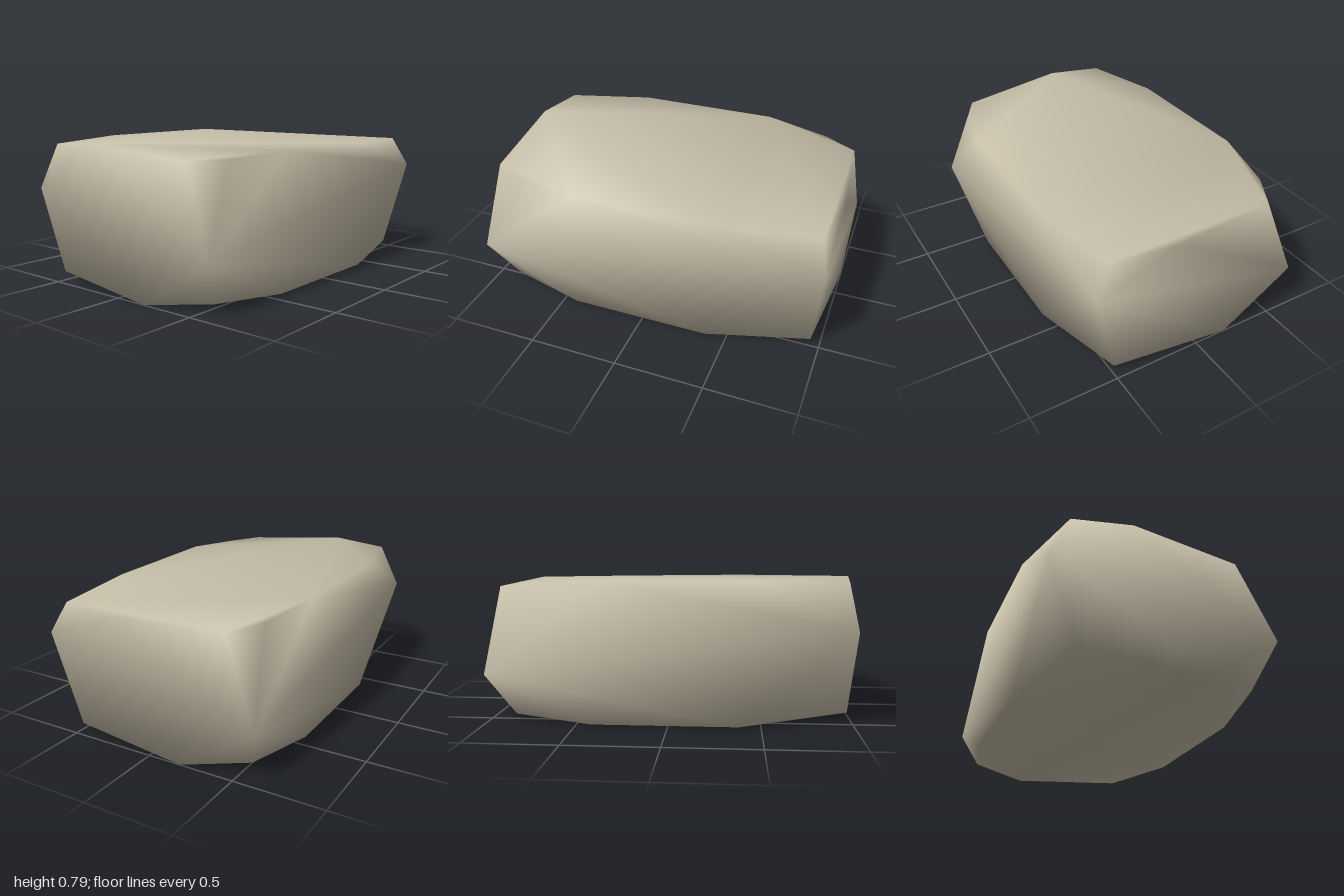
import * as THREE from 'three';
import { ConvexGeometry } from 'three/addons/geometries/ConvexGeometry.js';
import { mergeVertices } from 'three/addons/utils/BufferGeometryUtils.js';

const v = (x, y, z) => new THREE.Vector3(x, y, z);

export function createModel() {
  const group = new THREE.Group();
  group.name = 'stoneBlock';
  const stone = new THREE.MeshStandardMaterial({ color: 0xc8c0aa });
  stone.name = 'pale stone';

  const points = [
    // upright edges, worn down to one point each
    v(-0.62, 0.52, 1), v(0.62, 0.27, 1), v(0.62, 0.57, -1), v(-0.62, 0.27, -1),
    // short top and bottom edges
    v(-0.18, 0.79, 1), v(0.16, 0.73, -1), v(0.19, 0, 1), v(-0.19, 0, -1),
    // long top edges
    v(0.62, 0.755, 0.4), v(0.62, 0.745, -0.4), v(-0.62, 0.785, 0.46), v(-0.62, 0.785, -0.38),
    // long bottom edges
    v(0.62, 0.005, 0.42), v(0.62, 0.005, -0.38), v(-0.62, 0.005, 0.38), v(-0.62, 0.005, -0.42),
    // worn top corners
    v(-0.51, 0.77, 0.96), v(0.53, 0.74, -0.96),
    v(0.44, 0.735, 0.95), v(0.545, 0.735, 0.76), v(-0.44, 0.74, -0.95), v(-0.545, 0.75, -0.76),
    // worn bottom corners
    v(0.53, 0.035, 0.85), v(-0.53, 0.035, -0.85), v(-0.47, 0.06, 0.97), v(0.49, 0.04, -0.95),
  ];

  // weld the hull so the shading runs smoothly over every edge
  let hull = new ConvexGeometry(points);
  hull.deleteAttribute('normal');
  hull = mergeVertices(hull, 1e-4);
  hull.computeVertexNormals();

  const block = new THREE.Mesh(hull, stone);
  block.name = 'block';
  group.add(block);
  return group;
}
